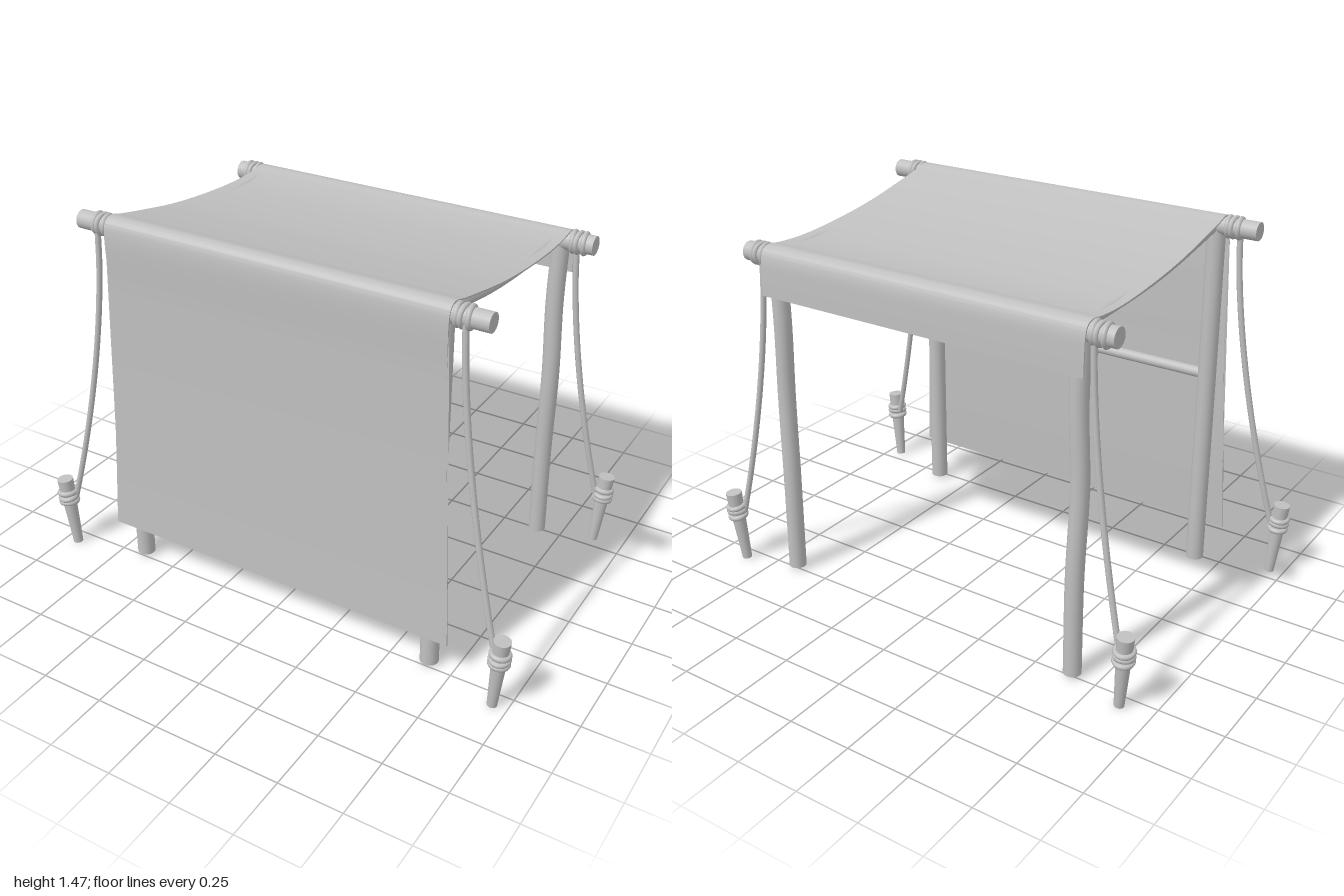
import * as THREE from 'three';
import { toCreasedNormals } from 'three/addons/utils/BufferGeometryUtils.js';

const V = (x, y, z) => new THREE.Vector3(x, y, z);

export function createModel() {
  const model = new THREE.Group();
  const grey = new THREE.MeshStandardMaterial({ color: 0xc0c0c0 });
  grey.name = 'plainGrey';

  function add(name, geometry, parent = model) {
    const mesh = new THREE.Mesh(geometry, grey);
    mesh.name = name;
    parent.add(mesh);
    return mesh;
  }

  // Round bar along a smooth path, closed with a disc at each end
  function bar(name, points, radius, segments = 16, sides = 16) {
    const group = new THREE.Group();
    group.name = name;
    model.add(group);
    const curve = new THREE.CatmullRomCurve3(points);
    add(name + 'Side', new THREE.TubeGeometry(curve, segments, radius, sides), group);
    for (const t of [0, 1]) {
      const cap = add(name + 'End', new THREE.CircleGeometry(radius, sides), group);
      const dir = curve.getTangent(t).multiplyScalar(t ? 1 : -1);
      cap.position.copy(curve.getPoint(t));
      cap.quaternion.setFromUnitVectors(V(0, 0, 1), dir);
    }
  }

  // Rope rings around an axis
  function rings(name, centre, axis, radius, tube, count, gap) {
    for (let i = 0; i < count; i++) {
      const ring = add(name, new THREE.TorusGeometry(radius, tube, 8, 24));
      ring.position.copy(centre).addScaledVector(axis, (i - (count - 1) / 2) * gap);
      const lean = axis.clone().add(V(0, 0, i % 2 ? 0.1 : -0.1)).normalize();
      ring.quaternion.setFromUnitVectors(V(0, 0, 1), lean);
    }
  }

  // Cross beams
  const front = { y: 1.42, z: 0.468, r: 0.035, half: 0.82 };
  const back = { y: 1.315, z: -0.487, r: 0.037, half: 0.785 };
  for (const [name, b] of [['frontBeam', front], ['backBeam', back]]) {
    bar(name, [V(-b.half, b.y, b.z), V(b.half, b.y, b.z)], b.r, 4, 20);
  }
  bar('frontCrossbar', [V(-0.65, 0.82, 0.475), V(0.65, 0.82, 0.475)], 0.021, 4);

  for (const s of [-1, 1]) {
    // Posts and sagging side rails
    bar('frontPost', [V(s * 0.65, 0.01, 0.475), V(s * 0.65, 0.7, 0.473), V(s * 0.65, 1.41, 0.468)], 0.035);
    bar('backPost', [V(s * 0.65, 0.01, -0.492), V(s * 0.648, 0.4, -0.49), V(s * 0.655, 0.75, -0.482),
      V(s * 0.645, 1.05, -0.486), V(s * 0.65, 1.31, -0.487)], 0.034, 24);
    bar('sideRail', [V(s * 0.645, 1.42, 0.468), V(s * 0.64, 1.355, 0.11), V(s * 0.64, 1.333, -0.13),
      V(s * 0.645, 1.326, -0.48)], 0.021, 24);

    // Guy ropes and stakes
    const corners = [
      { b: front, top: V(s * 0.968, 0.3, 0.567), foot: V(s * 0.942, 0, 0.559), rope: 0.735 },
      { b: back, top: V(s * 0.9, 0.3, -0.572), foot: V(s * 0.875, 0, -0.552), rope: 0.705 },
    ];
    for (const { b, top, foot, rope } of corners) {
      const side = Math.sign(b.z);
      const up = top.clone().sub(foot);
      const stake = add('stake', new THREE.CylinderGeometry(0.032, 0.019, up.length(), 18));
      stake.position.copy(top).add(foot).multiplyScalar(0.5);
      up.normalize();
      stake.quaternion.setFromUnitVectors(V(0, 1, 0), up);
      const knot = foot.clone().lerp(top, 0.73);
      rings('stakeLashing', knot, up, 0.031, 0.011, 3, 0.021);
      rings('beamLashing', V(s * 0.722, b.y, b.z), V(1, 0, 0), b.r, 0.01, 3, 0.022);

      const start = V(s * rope, b.y - 0.01, b.z + side * 0.02);
      const end = V(knot.x - s * 0.028, knot.y, knot.z - side * 0.015);
      const path = [];
      for (let i = 0; i <= 8; i++) {
        const t = i / 8, out = Math.pow(t, 1.6);
        path.push(V(start.x + (end.x - start.x) * out, start.y + (end.y - start.y) * t,
          start.z + (end.z - start.z) * out));
      }
      bar('guyRope', path, 0.0115, 32, 10);
    }
  }

  // Cloth profile (z, y): front hem, over the front beam, sag, over the back beam, short flap
  const profile = [[0.528, 0.15], [0.517, 0.5], [0.51, 0.9], [0.508, 1.2]];
  for (const a of [0, 45, 90]) {
    const r = a * Math.PI / 180;
    profile.push([front.z + 0.041 * Math.cos(r), front.y + 0.041 * Math.sin(r)]);
  }
  profile.push([0.4, 1.445], [0.25, 1.412], [0.1, 1.383], [-0.1, 1.358], [-0.3, 1.345], [-0.43, 1.35]);
  for (const a of [90, 135, 180]) {
    const r = a * Math.PI / 180;
    profile.push([back.z + 0.044 * Math.cos(r), back.y + 0.042 * Math.sin(r)]);
  }
  profile.push([-0.536, 1.24], [-0.537, 1.17]);
  const line = new THREE.CatmullRomCurve3(profile.map(([z, y]) => V(z, y, 0)));
  const outer = [], inner = [];
  for (let i = 0; i <= 90; i++) {
    const p = line.getPoint(i / 90), t = line.getTangent(i / 90);
    outer.push(new THREE.Vector2(p.x, p.y));
    inner.unshift(new THREE.Vector2(p.x - t.y * 0.006, p.y + t.x * 0.006));
  }
  const cloth = new THREE.ExtrudeGeometry(new THREE.Shape([...outer, ...inner]),
    { depth: 1.374, steps: 1, bevelEnabled: false });
  cloth.translate(0, 0, -0.687);
  cloth.rotateY(-Math.PI / 2);
  // The front drop widens toward its hem
  const pos = cloth.attributes.position;
  for (let i = 0; i < pos.count; i++) {
    const drop = Math.max(0, 1.15 - pos.getY(i));
    pos.setX(i, pos.getX(i) * (1 + 0.081 * drop));
  }
  add('clothCover', toCreasedNormals(cloth, 0.7));

  return model;
}
